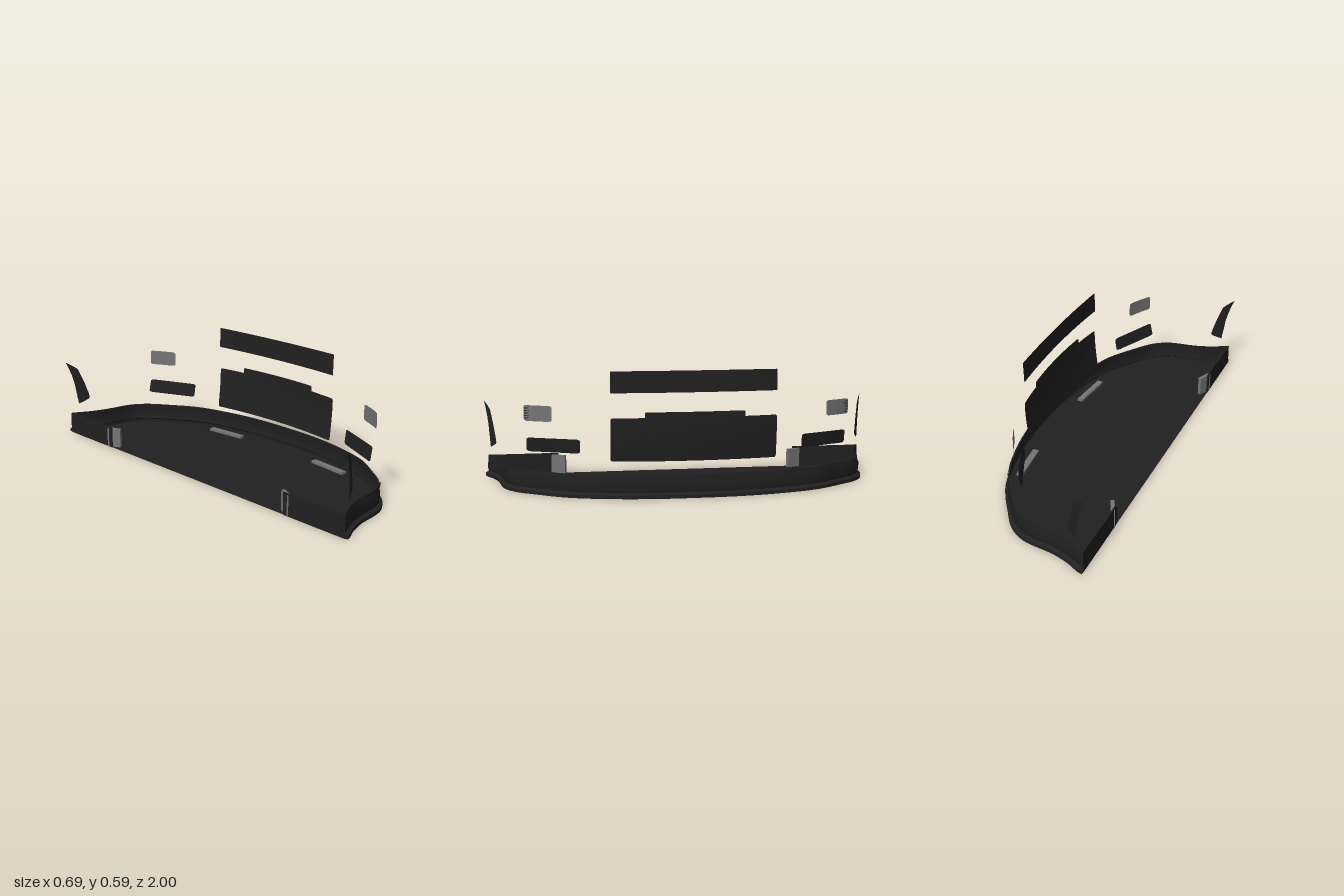
import * as THREE from 'three';
import { toCreasedNormals } from 'three/addons/utils/BufferGeometryUtils.js';

const black = new THREE.MeshStandardMaterial({ color: 0x212121, side: THREE.DoubleSide });
black.name = 'black plastic';
const grey = new THREE.MeshStandardMaterial({ color: 0x757575, side: THREE.DoubleSide });
grey.name = 'grey metal';

// Smooth sheet from a grid of points given by fn(i, j)
function sheet(nu, nv, fn) {
  const pos = [], idx = [];
  for (let i = 0; i <= nu; i++) {
    for (let j = 0; j <= nv; j++) {
      pos.push(...fn(i, j));
      if (i < nu && j < nv) {
        const a = i * (nv + 1) + j, b = a + nv + 1;
        idx.push(a, b, a + 1, b, b + 1, a + 1);
      }
    }
  }
  const g = new THREE.BufferGeometry();
  g.setAttribute('position', new THREE.Float32BufferAttribute(pos, 3));
  g.setIndex(idx);
  return toCreasedNormals(g, 0.6);
}

// Sheet between two edges: columns are [u, low, high]
const panel = (cols, fn, rows = 8) => sheet(cols.length - 1, rows, (i, j) => {
  const [u, lo, hi] = cols[i];
  return fn(u, lo + (hi - lo) * j / rows);
});

// Columns of a rectangle with rounded corners (ru along u, rv across)
function roundCols(u0, u1, lo, hi, ru, rv) {
  const cols = [];
  for (let k = 0; k <= 4; k++) {
    const a = k / 4 * Math.PI / 2, d = rv * (1 - Math.sin(a));
    cols.push([u0 + ru * (1 - Math.cos(a)), lo + d, hi - d]);
  }
  for (let k = 1; k < 20; k++) cols.push([u0 + ru + (u1 - u0 - 2 * ru) * k / 20, lo, hi]);
  for (let k = 4; k >= 0; k--) cols.push([u0 + u1 - cols[k][0], cols[k][1], cols[k][2]]);
  return cols;
}

export function createModel() {
  const model = new THREE.Group();
  const add = (name, geometry, material = black) => {
    const m = new THREE.Mesh(geometry, material);
    m.name = name;
    model.add(m);
    return m;
  };

  // Plan outline of the tray, mirrored about z = 0
  const half = [[-0.335, 1], [-0.3, 0.988], [-0.265, 0.967], [-0.17, 0.932], [0, 0.9], [0.085, 0.845],
    [0.165, 0.738], [0.25, 0.6], [0.305, 0.42], [0.337, 0.22]];
  const pts = [...half, [0.345, 0], ...half.slice().reverse().map(([x, z]) => [x, -z])];
  const outline = new THREE.CatmullRomCurve3(pts.map(([x, z]) => new THREE.Vector3(x, 0, z)), false, 'centripetal');
  outline.arcLengthDivisions = 600;
  const onWall = (t, inset, y) => {
    const p = outline.getPointAt(t), d = outline.getTangentAt(t);
    return [Math.max(-0.335, p.x + d.z * inset), y, p.z - d.x * inset];
  };

  // Floor
  const floorShape = new THREE.Shape(outline.getSpacedPoints(100).map(p => new THREE.Vector2(p.x, p.z)));
  const floor = new THREE.ShapeGeometry(floorShape);
  floor.rotateX(Math.PI / 2);
  floor.translate(0, 0.002, 0);
  add('floor', floor);

  // Curved wall with a projecting lip at its foot
  const profile = [[0, 0], [0, 0.016], [0.016, 0.026], [0.012, 0.045], [0.015, 0.08], [0.019, 0.11], [0.026, 0.11]];
  add('wall', sheet(100, profile.length - 1, (i, j) => onWall(i / 100, ...profile[j])));

  // Upper bar, bowed in plan
  add('upperBar', panel(roundCols(-0.4, 0.4, 0.487, 0.59, 0.004, 0.004),
    (z, y) => [0.251 - (y - 0.487) * 0.03 - z * z * (0.12 - (y - 0.487) * 0.4), y, z]));

  // Centre panel with a raised tab
  const centreCols = roundCols(-0.4, 0.4, 0.16, 0.37, 0.012, 0.012).filter(c => Math.abs(c[0]) > 0.25);
  const tabCols = roundCols(-0.24, 0.24, 0.16, 0.397, 0.006, 0.006).map(([u, , hi]) => [u, 0.16, hi]);
  const mid = centreCols.length / 2;
  const cols = [...centreCols.slice(0, mid), [-0.2405, 0.16, 0.37], ...tabCols,
    [0.2405, 0.16, 0.37], ...centreCols.slice(mid)];
  add('centrePanel', panel(cols, (z, y) =>
    [0.25 + 0.018 * Math.sin(Math.min(1, (y - 0.16) / 0.22) * Math.PI / 2) - 0.2 * z * z, y, z]));

  for (const s of [1, -1]) {
    const side = s > 0 ? 'left' : 'right';

    // Lower side panel
    add(side + 'LowerPanel', panel(roundCols(0, 1, 0.193, 0.262, 0.07, 0.009), (t, y) => {
      const k = (y - 0.193) / 0.069;
      return [0.055 + 0.112 * t + (0.015 - 0.004 * t) * k, y, s * (0.79 - 0.25 * t)];
    }));

    // Grey side plate with dark ribs at its outer edge
    const plate = (t, y, out = 0) =>
      [0.08 + 0.067 * t + out, y, s * (0.8 - 0.13 * t + 0.008 * Math.sin(Math.PI * t) + out)];
    add(side + 'Plate', panel(roundCols(0, 1, 0.345, 0.421, 0.12, 0.009), (t, y) => plate(t, y)), grey);
    for (let k = 0; k < 8; k++) {
      const y = 0.353 + k * 0.008;
      add(side + 'PlateRib', panel([[0.03, y, y + 0.003], [0.12, y, y + 0.003], [0.25, y + 0.001, y + 0.002]],
        (t, v) => plate(t, v, 0.001), 1));
    }

    // Rear fin: columns are [height, rear edge, front edge]
    const fin = [[0.157, -0.293, -0.292], [0.165, -0.294, -0.275], [0.18, -0.296, -0.246], [0.19, -0.298, -0.24],
      [0.22, -0.302, -0.247], [0.27, -0.309, -0.262], [0.32, -0.321, -0.28], [0.35, -0.331, -0.291],
      [0.365, -0.336, -0.308], [0.38, -0.342, -0.33], [0.39, -0.347, -0.346]];
    add(side + 'Fin', panel(fin, (y, x) => [x, y, s * (0.94 + (-0.24 - x) * 0.56)]));

    // Tapered slot trim on the wall
    const slot = [[0.175, 0.068, 0.096], [0.18, 0.064, 0.09], [0.21, 0.063, 0.076], [0.25, 0.063, 0.075],
      [0.28, 0.064, 0.072], [0.305, 0.066, 0.067]];
    add(side + 'SlotTrim', panel(slot, (t, y) => onWall(s > 0 ? t : 1 - t, 0.009, y), 1));

    // Closing wall at the back corner
    const back = add(side + 'BackWall', new THREE.BoxGeometry(0.006, 0.108, 0.36));
    back.position.set(-0.332, 0.054, s * 0.805);

    // Brackets
    const rear = add(side + 'RearBracket', new THREE.BoxGeometry(0.018, 0.1, 0.075), grey);
    rear.position.set(-0.315, 0.05, s * 0.625);
    rear.rotation.y = -s * 0.42;
    const front = add(side + 'FrontBracket', new THREE.BoxGeometry(0.03, 0.014, 0.22), grey);
    front.position.set(0.25, 0.007, s * 0.37);
    front.rotation.y = -s * 0.1;
  }
  return model;
}
